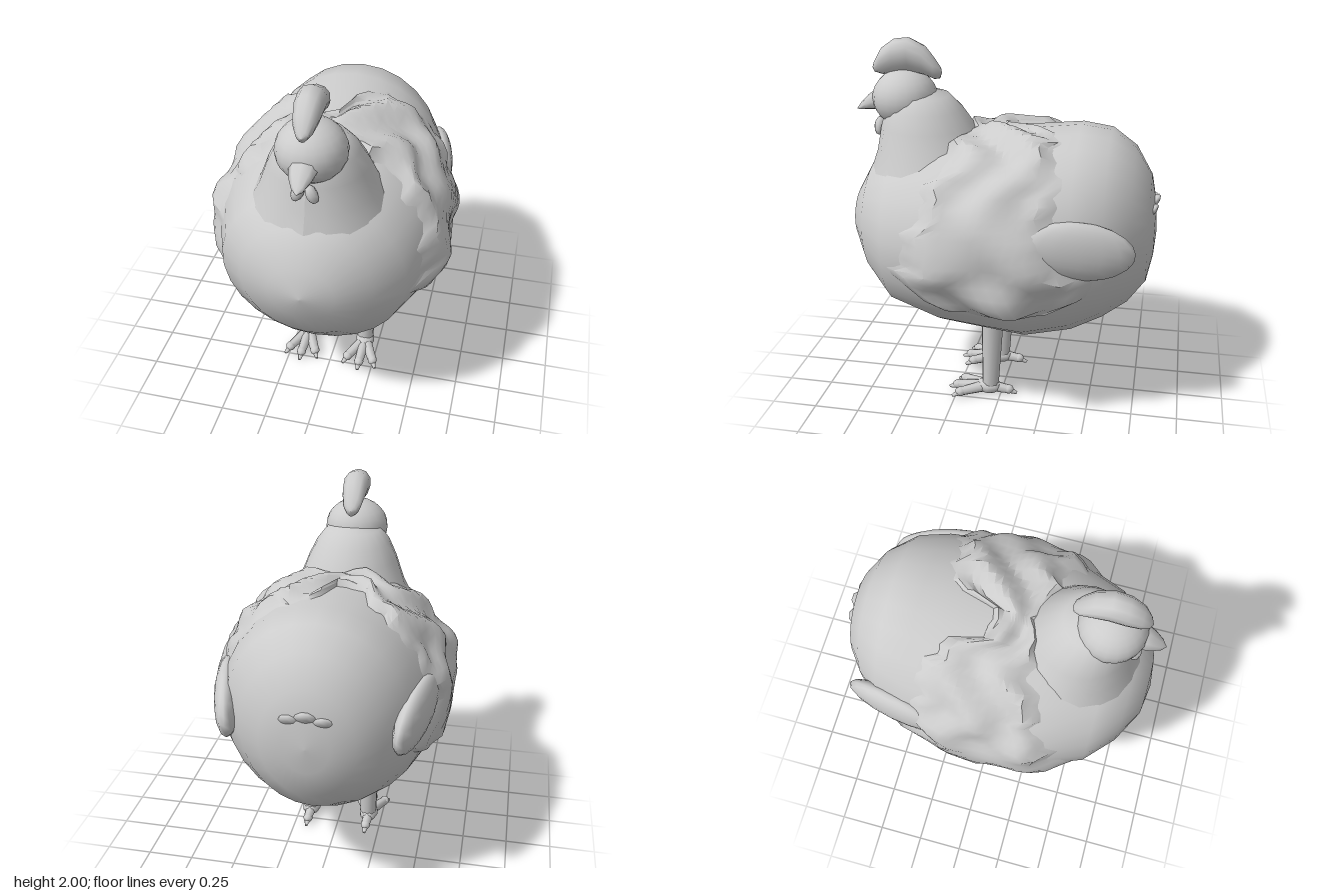
import * as THREE from 'three';
import { toCreasedNormals } from 'three/addons/utils/BufferGeometryUtils.js';

const material = new THREE.MeshStandardMaterial({ color: 0xcccccc });
const thin = new THREE.MeshStandardMaterial({ color: 0xcccccc, side: THREE.DoubleSide });

// Stations from front to back: [z, half width, bottom y, top y]
const BODY = [
  [0.84, 0, 1, 1], [0.815, 0.17, 0.86, 1.17], [0.72, 0.34, 0.68, 1.34],
  [0.58, 0.48, 0.53, 1.42], [0.3, 0.59, 0.45, 1.5], [0.05, 0.605, 0.42, 1.53],
  [-0.15, 0.59, 0.39, 1.55], [-0.4, 0.535, 0.44, 1.58], [-0.56, 0.47, 0.52, 1.56],
  [-0.69, 0.36, 0.61, 1.47], [-0.78, 0.24, 0.73, 1.32], [-0.81, 0.12, 0.88, 1.17], [-0.82, 0, 1.02, 1.02],
];
const COMB = [
  [0.725, 0, 1.835, 1.835], [0.71, 0.035, 1.81, 1.87], [0.67, 0.065, 1.8, 1.94], [0.6, 0.082, 1.805, 1.99],
  [0.52, 0.085, 1.82, 2], [0.44, 0.078, 1.805, 1.96], [0.385, 0.06, 1.785, 1.89], [0.355, 0.035, 1.79, 1.85],
  [0.345, 0, 1.82, 1.82],
];
const BEAK = [
  [0.825, 0, 1.605, 1.605], [0.8, 0.03, 1.6, 1.64], [0.755, 0.055, 1.605, 1.685],
  [0.71, 0.068, 1.605, 1.72], [0.64, 0.07, 1.61, 1.74],
];

function mesh(name, geometry, mat = material) {
  const m = new THREE.Mesh(geometry, mat);
  m.name = name;
  return m;
}

// Point on an oval ring; angle 0 is the top, taper narrows the underside
function ringPoint([z, w, lo, hi], angle, taper = 0, scale = 1) {
  const x = w * Math.sin(angle) * (1 - taper + taper * Math.cos(angle));
  return [x * scale, (lo + hi) / 2 + ((hi - lo) / 2) * Math.cos(angle) * scale, z];
}

// Surface over a grid of points; columns may wrap round
function gridGeometry(rows, cols, wrap, pointAt) {
  const pos = [], index = [];
  for (let i = 0; i < rows; i++) for (let j = 0; j < cols; j++) pos.push(...pointAt(i, j));
  for (let i = 0; i < rows - 1; i++) {
    for (let j = 0; j < (wrap ? cols : cols - 1); j++) {
      const k = (j + 1) % cols;
      const a = i * cols + j, b = i * cols + k, c = a + cols, d = b + cols;
      index.push(a, b, c, b, d, c);
    }
  }
  const g = new THREE.BufferGeometry();
  g.setAttribute('position', new THREE.Float32BufferAttribute(pos, 3));
  g.setIndex(index);
  g.computeVertexNormals();
  return g;
}

const loft = (stations, sides, taper = 0) => gridGeometry(stations.length, sides, true,
  (i, j) => ringPoint(stations[i], (j / sides) * Math.PI * 2, taper));

// Linear lookup in a table whose first column rises or falls
function lookup(table, t) {
  for (let i = 0; i < table.length - 1; i++) {
    const a = table[i], b = table[i + 1];
    const k = (t - a[0]) / (b[0] - a[0]);
    if (k >= 0 && k <= 1) return a.map((v, n) => v + (b[n] - v) * k);
  }
  return table[table.length - 1];
}

// Ragged feather coat over the back and both flanks: [degrees from top, front z, rear z]
const COAT = [
  [0, 0.2, 0], [7, 0.22, -0.06], [15, 0.26, -0.28], [40, 0.3, -0.33], [65, 0.38, -0.36],
  [85, 0.46, -0.36], [98, 0.55, -0.5], [107, 0.45, -0.53], [114, 0.3, -0.46], [119, 0.27, -0.1], [125, 0.22, 0.06],
];
function featherCoat() {
  const rows = 16, cols = 51;
  const g = gridGeometry(rows, cols, false, (i, j) => {
    const deg = (j / (cols - 1)) * 248 - 124;
    const angle = (deg * Math.PI) / 180;
    const [, front, rear] = lookup(COAT, Math.abs(deg + 8 * Math.cos(angle)));
    const v = i / (rows - 1);
    const jag = 0.03 * Math.sin(j * 1.05) + 0.02 * Math.sin(j * 2.3 + 1);
    const z = front + (rear - front) * v + jag * (2 * v - 1);
    const lumps = 0.03 * Math.sin(i * 0.8 + 1.9 * Math.sin(j * 0.55)) + 0.022 * Math.sin(j * 0.95 - i * 0.7);
    const edge = Math.min(1, Math.min(i, rows - 1 - i, j, cols - 1 - j) / 2);
    return ringPoint(lookup(BODY, z), angle, 0, 1 + edge * (0.06 + lumps) - 0.015 * (1 - edge));
  });
  return mesh('featherCoat', toCreasedNormals(g, 0.7), thin);
}

// Ball stretched to the given radii
function ellipsoid(name, radii, position, rotation = [0, 0, 0], seg = 16) {
  const m = mesh(name, new THREE.SphereGeometry(1, seg, Math.round(seg * 0.7)));
  m.scale.set(...radii);
  m.position.set(...position);
  m.rotation.set(...rotation);
  return m;
}

// Tapered limb between two points
function limb(name, from, to, r0, r1, sides = 8) {
  const a = new THREE.Vector3(...from), b = new THREE.Vector3(...to);
  const m = mesh(name, new THREE.CylinderGeometry(r1, r0, a.distanceTo(b), sides));
  m.position.copy(a).lerp(b, 0.5);
  m.quaternion.setFromUnitVectors(new THREE.Vector3(0, 1, 0), b.sub(a).normalize());
  return m;
}

// Leg with three front toes and one hind toe
function leg(side) {
  const g = new THREE.Group();
  g.name = side > 0 ? 'leftLeg' : 'rightLeg';
  g.add(limb('shank', [0, 0.03, 0.06], [0, 0.48, 0.045], 0.046, 0.062, 10));
  g.add(ellipsoid('footPad', [0.055, 0.045, 0.075], [0, 0.05, 0.07], [0, 0, 0], 10));
  for (const [x, z] of [[-0.075, 0.22], [0, 0.25], [0.075, 0.22], [0, -0.045]]) {
    g.add(limb('toe', [0, 0.05, 0.07], [x, 0.036, z], 0.034, 0.025));
    g.add(ellipsoid('toeTip', [0.028, 0.026, 0.032], [x, 0.036, z], [0, 0, 0], 8));
    const reach = Math.hypot(x, z - 0.07);
    g.add(limb('claw', [x, 0.033, z], [x + (x / reach) * 0.05, 0.015, z + ((z - 0.07) / reach) * 0.05], 0.021, 0.008));
  }
  g.position.x = side * 0.175;
  return g;
}

export function createModel() {
  const model = new THREE.Group();
  model.name = 'hen';
  model.add(mesh('body', loft(BODY, 26)), featherCoat());

  // Neck leaning forward, closed behind the head
  const profile = [[0.38, 1.25], [0.35, 1.32], [0.3, 1.41], [0.25, 1.54], [0.205, 1.63], [0.15, 1.7], [0, 1.74]];
  const neck = new THREE.LatheGeometry(profile.map((p) => new THREE.Vector2(...p)), 20);
  const p = neck.attributes.position;
  for (let i = 0; i < p.count; i++) p.setZ(i, p.getZ(i) + 0.38 + (p.getY(i) - 1.3) * 0.2);
  neck.computeVertexNormals();
  model.add(mesh('neck', neck));

  // Head, comb and beak
  model.add(ellipsoid('head', [0.175, 0.155, 0.175], [0, 1.68, 0.55], [0, 0, 0], 20));
  model.add(mesh('comb', loft(COMB, 12, 0.2)));
  model.add(mesh('beak', loft(BEAK, 8)));

  // Paired parts
  for (const side of [-1, 1]) {
    model.add(ellipsoid('wattle', [0.03, 0.05, 0.03], [side * 0.034, 1.525, 0.69], [0, 0, side * 0.4], 8));
    model.add(ellipsoid('wingTip', [0.07, 0.155, 0.29], [side * 0.485, 1.07, -0.45], [-0.15, side * 0.22, 0]));
    model.add(leg(side));
  }

  // Small tail tuft
  for (const x of [-0.075, 0, 0.075]) {
    model.add(ellipsoid('tailFeather', [0.065, 0.03, 0.085],
      [x, 1.16 - Math.abs(x) * 0.3, -0.765 + Math.abs(x) * 0.1], [0.7, -x * 4, 0], 10));
  }
  return model;
}
